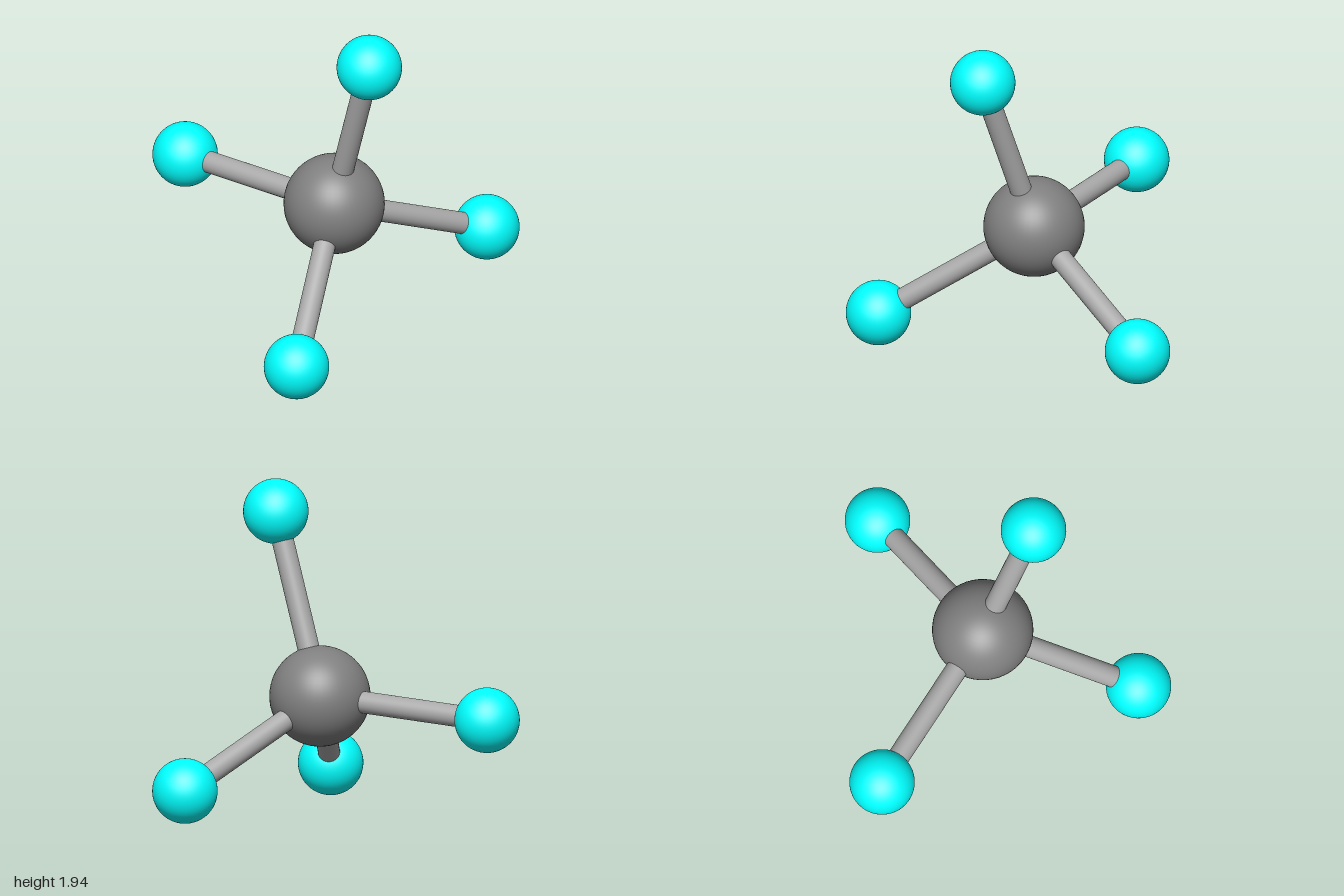
import * as THREE from 'three';

const CENTRE = new THREE.Vector3(-0.157, 0.773, 0.222);
const OUTER = {
  top: [-0.178, 1.76, 0.582],
  left: [0.815, 0.387, 0.318],
  right: [-0.82, 0.183, 0.783],
  back: [-0.443, 0.757, -0.788],
};

const material = (color) => new THREE.MeshStandardMaterial({ color });

function ball(name, radius, position, mat) {
  const mesh = new THREE.Mesh(new THREE.SphereGeometry(radius, 48, 32), mat);
  mesh.name = name;
  mesh.position.copy(position);
  return mesh;
}

// Cylinder running between two points
function rod(name, from, to, radius, mat) {
  const axis = to.clone().sub(from);
  const mesh = new THREE.Mesh(new THREE.CylinderGeometry(radius, radius, axis.length(), 32), mat);
  mesh.name = name;
  mesh.position.copy(from).add(to).multiplyScalar(0.5);
  mesh.quaternion.setFromUnitVectors(new THREE.Vector3(0, 1, 0), axis.normalize());
  return mesh;
}

export function createModel() {
  const model = new THREE.Group();
  model.name = 'tetrahedralMolecule';
  const coreMat = material(0x808080);
  const rodMat = material(0xaaaaaa);
  const outerMat = material(0x00ffff);

  // Central atom
  model.add(ball('centralAtom', 0.28, CENTRE, coreMat));

  // Four bonds, each ending in an outer atom
  for (const [side, point] of Object.entries(OUTER)) {
    const end = new THREE.Vector3(...point);
    model.add(rod(`${side}Bond`, CENTRE, end, 0.061, rodMat));
    model.add(ball(`${side}Atom`, 0.181, end, outerMat));
  }
  return model;
}
